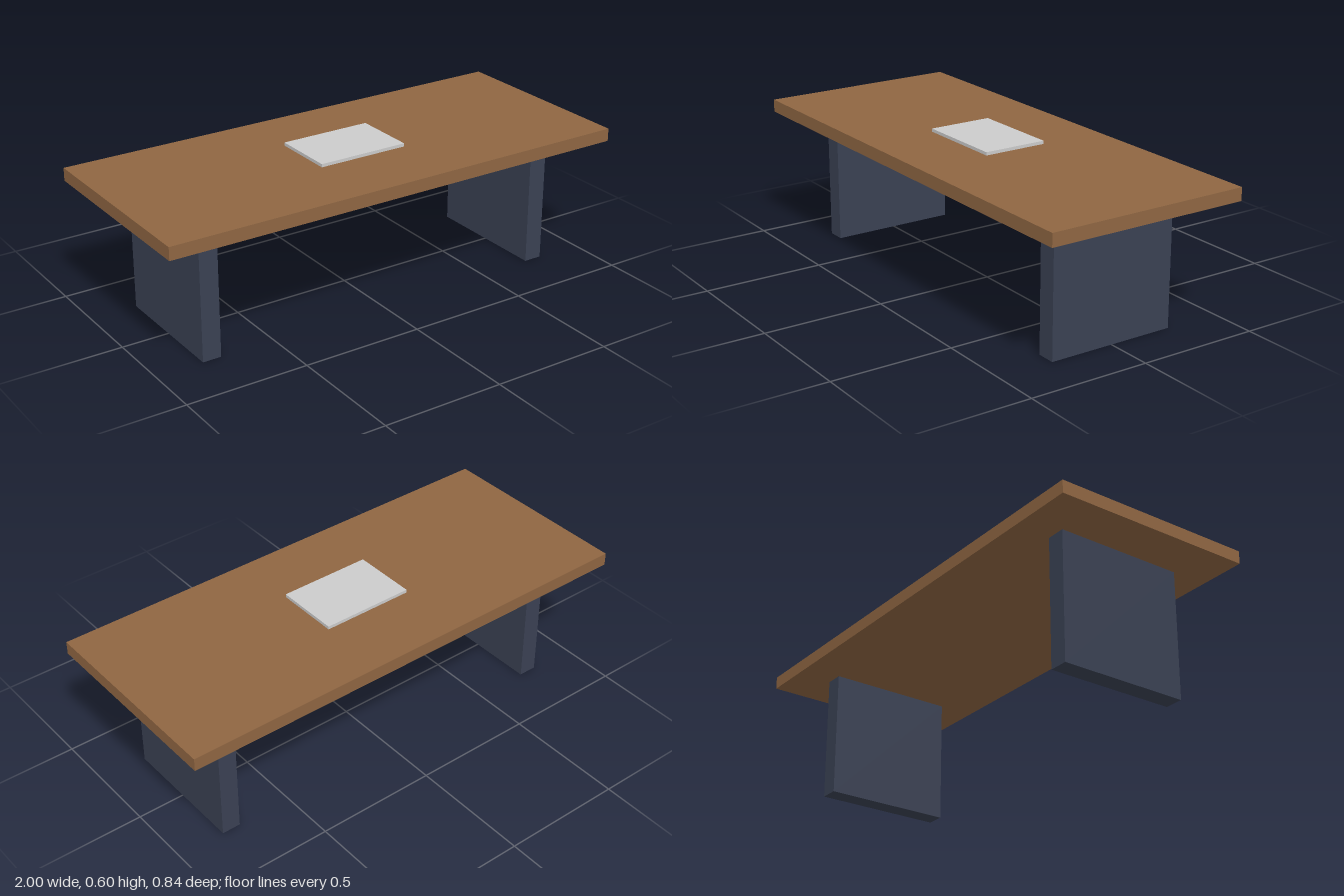
import * as THREE from 'three';

export function createModel() {
  const group = new THREE.Group();
  const wood = new THREE.MeshStandardMaterial({ color: 0x8f6642 });
  const slate = new THREE.MeshStandardMaterial({ color: 0x3a4153 });
  const grey = new THREE.MeshStandardMaterial({ color: 0xcccccc });

  // Box standing on a given height, centred on z = 0
  function addBox(name, material, width, height, depth, x, bottom) {
    const mesh = new THREE.Mesh(new THREE.BoxGeometry(width, height, depth), material);
    mesh.name = name;
    mesh.position.set(x, bottom + height / 2, 0);
    group.add(mesh);
  }

  // Table top
  addBox('tableTop', wood, 2, 0.053, 0.844, 0, 0.528);

  // Slab legs, mirrored
  for (const side of [-1, 1]) {
    addBox(side > 0 ? 'leftLeg' : 'rightLeg', slate, 0.077, 0.528, 0.538, side * 0.767, 0);
  }

  // Thin pad hovering just above the table top
  addBox('pad', grey, 0.384, 0.013, 0.268, 0, 0.588);

  return group;
}
